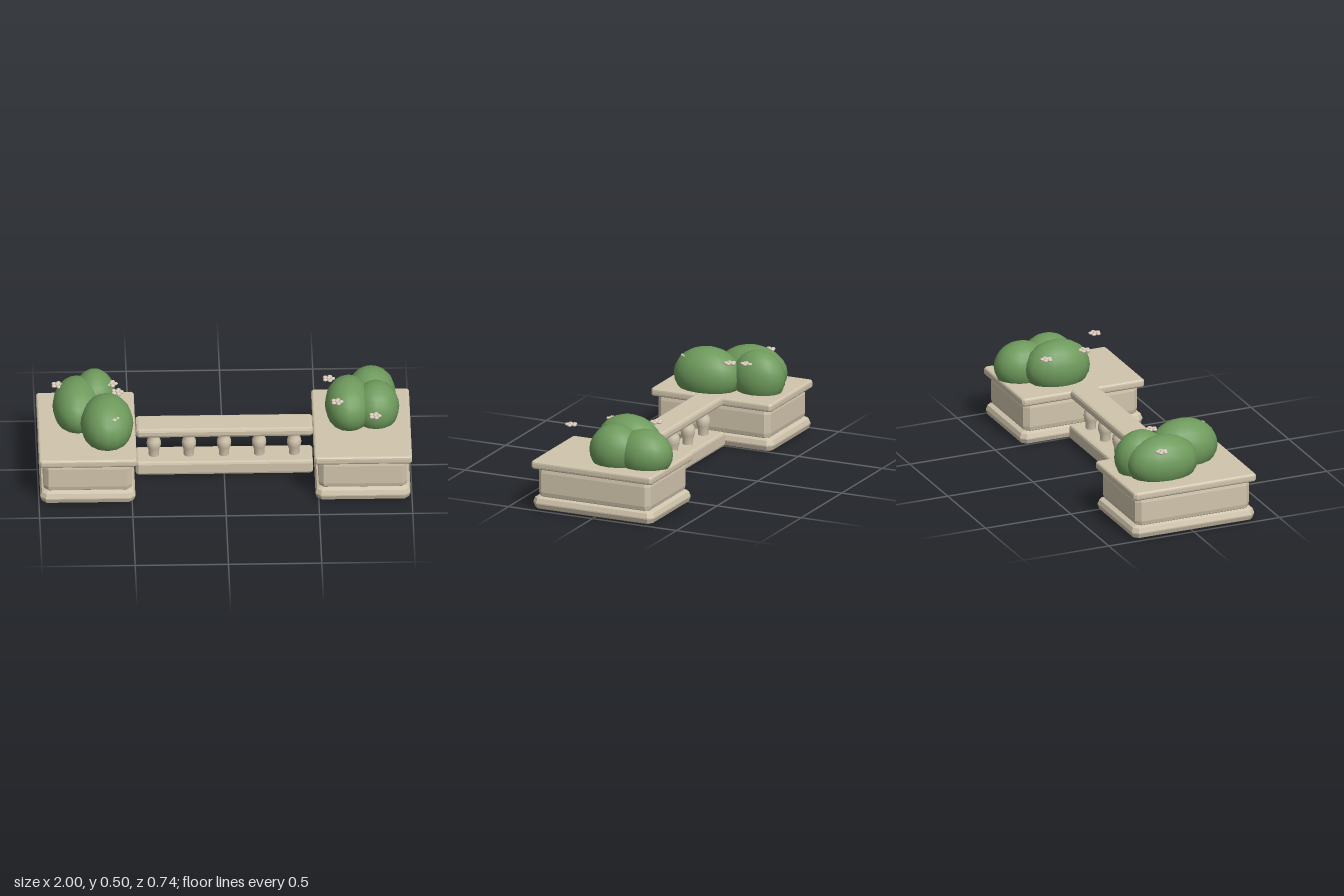
import * as THREE from 'three';

const stone = new THREE.MeshStandardMaterial({ color: 0xd0c4ac });
stone.name = 'stone';
const leaf = new THREE.MeshStandardMaterial({ color: 0x6e9a5c });
leaf.name = 'leaf green';
const petal = new THREE.MeshStandardMaterial({ color: 0xd8cabb });
petal.name = 'pale petal';
const earth = new THREE.MeshStandardMaterial({ color: 0x7a4a30 });
earth.name = 'soil brown';

const CZ = 0.01; // centre line of the masonry

function add(parent, name, geometry, material, x = 0, y = 0, z = 0) {
  const mesh = new THREE.Mesh(geometry, material);
  mesh.name = name;
  mesh.position.set(x, y, z);
  parent.add(mesh);
  return mesh;
}

// Bevelled stone block from y0 to y1: b is the sideways bevel, t its height, c the corner cut
function block(w, d, y0, y1, b, t, c, segments = 2) {
  const x = w / 2 - b, z = d / 2 - b;
  const shape = new THREE.Shape([
    [-x + c, -z], [x - c, -z], [x, -z + c], [x, z - c],
    [x - c, z], [-x + c, z], [-x, z - c], [-x, -z + c],
  ].map(([px, pz]) => new THREE.Vector2(px, pz)));
  const geometry = new THREE.ExtrudeGeometry(shape, {
    depth: y1 - y0 - 2 * t, bevelEnabled: true,
    bevelSize: b, bevelThickness: t, bevelSegments: segments,
  });
  return geometry.rotateX(-Math.PI / 2).translate(0, y0 + t, 0);
}

function planter(name, x) {
  const group = new THREE.Group();
  group.name = name;
  group.position.set(x, 0, CZ);
  add(group, 'plinth', block(0.51, 0.718, 0, 0.074, 0.03, 0.034, 0.012), stone);
  add(group, 'body', block(0.477, 0.668, 0.068, 0.235, 0.016, 0.03, 0.018), stone);
  add(group, 'cap', block(0.525, 0.718, 0.229, 0.274, 0.012, 0.014, 0.006, 3), stone);
  // Soil bed lies level with the cap
  add(group, 'soil', new THREE.BoxGeometry(0.44, 0.008, 0.62), earth, 0, 0.2695, 0);
  return group;
}

// Each bush lobe: centre x, y, z then radii x, y, z
const lobes = {
  rightBush: [
    [-0.69, 0.35, -0.175, 0.115, 0.15, 0.148],
    [-0.785, 0.345, -0.09, 0.132, 0.145, 0.2],
    [-0.63, 0.347, 0.1, 0.142, 0.15, 0.193],
  ],
  leftBush: [
    [0.794, 0.335, -0.214, 0.13, 0.135, 0.154],
    [0.67, 0.352, -0.06, 0.128, 0.147, 0.184],
    [0.815, 0.342, -0.05, 0.126, 0.14, 0.146],
  ],
};

function bush(name) {
  const group = new THREE.Group();
  group.name = name;
  for (const [x, y, z, rx, ry, rz] of lobes[name]) {
    add(group, 'bushLobe', new THREE.SphereGeometry(1, 16, 12), leaf, x, y, z).scale.set(rx, ry, rz);
  }
  return group;
}

// Small five-petalled blossom
function flower(x, z) {
  const group = new THREE.Group();
  group.name = 'flower';
  group.position.set(x, 0.445, z);
  const ball = new THREE.SphereGeometry(1, 8, 6);
  add(group, 'flowerCentre', ball, petal, 0, 0.002, 0).scale.set(0.012, 0.011, 0.012);
  for (let i = 0; i < 5; i++) {
    const a = (i / 5) * Math.PI * 2;
    add(group, 'petal', ball, petal, Math.cos(a) * 0.022, 0, Math.sin(a) * 0.022)
      .scale.set(0.0135, 0.008, 0.0135);
  }
  return group;
}

function balustrade() {
  const group = new THREE.Group();
  group.name = 'balustrade';
  group.position.z = CZ - 0.004;
  add(group, 'bottomRail', block(0.95, 0.174, 0.01, 0.09, 0.013, 0.015, 0.006), stone);
  add(group, 'topRail', block(0.95, 0.162, 0.238, 0.29, 0.016, 0.016, 0.006), stone);
  // Turned balusters
  const profile = [
    [0.028, 0.085], [0.028, 0.118], [0.036, 0.142], [0.039, 0.163],
    [0.036, 0.184], [0.026, 0.2], [0.026, 0.215], [0.03, 0.242],
  ].map(([r, y]) => new THREE.Vector2(r, y));
  const turned = new THREE.LatheGeometry(profile, 12);
  for (let i = -2; i <= 2; i++) add(group, 'baluster', turned, stone, i * 0.188, 0, 0);
  return group;
}

export function createModel() {
  const model = new THREE.Group();
  model.name = 'planterBalustrade';
  model.add(
    planter('rightPlanter', -0.7375), planter('leftPlanter', 0.7375),
    balustrade(), bush('rightBush'), bush('leftBush'),
  );
  const spots = [
    [-0.89, -0.14], [-0.57, -0.06], [-0.6, 0.21], [-0.6, -0.145],
    [0.565, -0.17], [0.605, 0.07], [0.805, 0.22],
  ];
  for (const [x, z] of spots) model.add(flower(x, z));
  return model;
}
